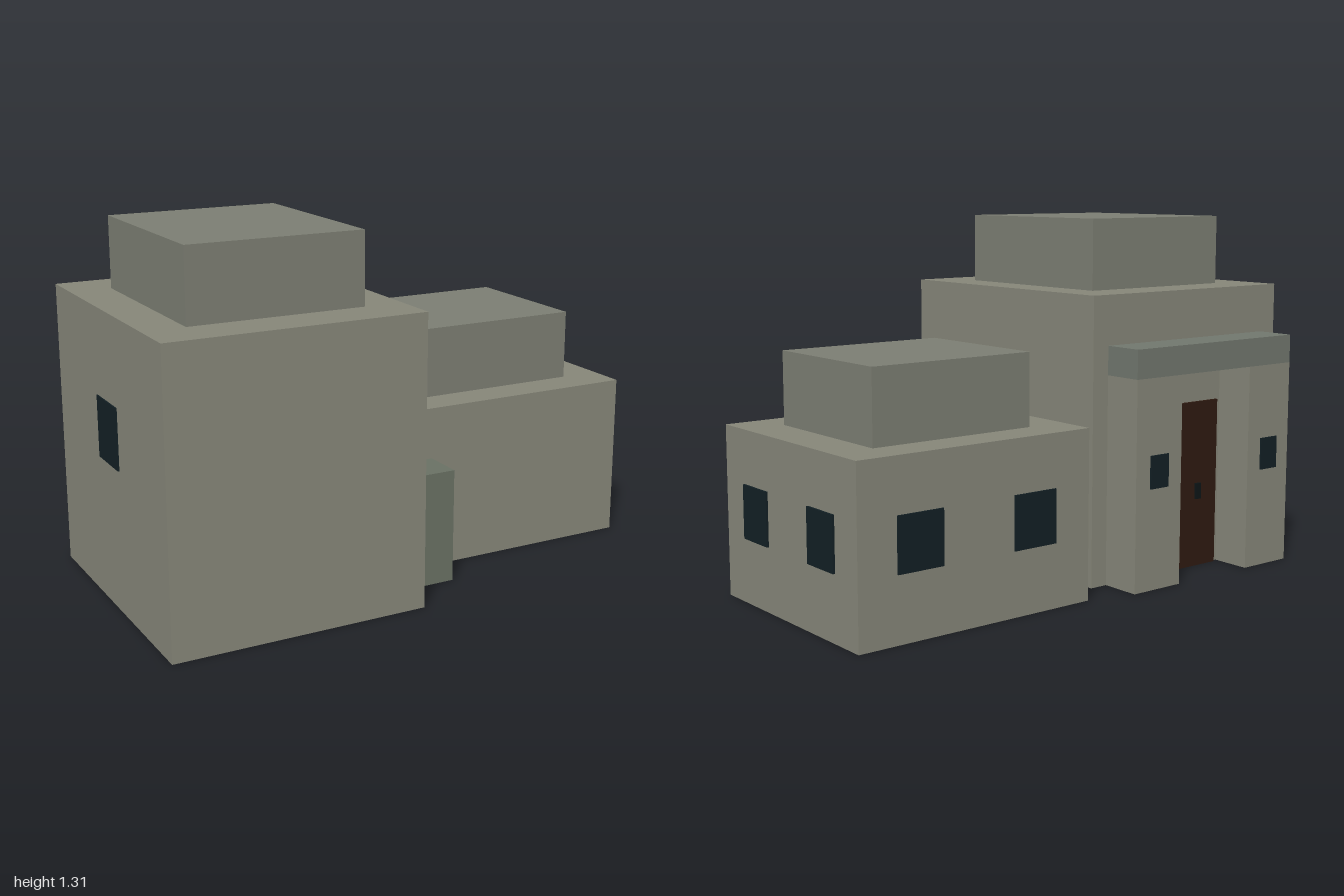
import * as THREE from 'three';

const material = (color) => new THREE.MeshStandardMaterial({ color, flatShading: true });

export function createModel() {
  const model = new THREE.Group();
  const wall = material(0x858578);
  const roof = material(0x7b7d72);
  const lintelStone = material(0x70766d);
  const linkStone = material(0x697063);
  const glass = material(0x121f24);
  const wood = material(0x2e1a10);
  const iron = material(0x0c1416);

  // Box given by its extents along each axis
  const block = (name, mat, [x0, x1], [y0, y1], [z0, z1]) => {
    const mesh = new THREE.Mesh(new THREE.BoxGeometry(x1 - x0, y1 - y0, z1 - z0), mat);
    mesh.position.set((x0 + x1) / 2, (y0 + y1) / 2, (z0 + z1) / 2);
    mesh.name = name;
    model.add(mesh);
  };

  // Tall house with its raised roof
  block('tallHouse', wall, [-0.995, -0.06], [0, 1.05], [-0.445, 0.6]);
  block('tallHouseRoof', roof, [-0.845, -0.205], [1.05, 1.31], [-0.275, 0.43]);
  block('tallHouseWindow', glass, [-1, -0.99], [0.52, 0.74], [-0.02, 0.17]);

  // Low house with its raised roof
  block('lowHouse', wall, [0.05, 0.992], [0, 0.61], [-0.55, 0.285]);
  block('lowHouseRoof', roof, [0.2, 0.84], [0.61, 0.87], [-0.41, 0.147]);
  for (const z of [-0.42, 0]) {
    block('lowHouseSideWindow', glass, [0.985, 1], [0.23, 0.42], [z, z + 0.157]);
  }
  for (const x of [0.2, 0.668]) {
    block('lowHouseBackWindow', glass, [x, x + 0.177], [0.23, 0.42], [-0.556, -0.54]);
  }

  // Passage joining the two houses
  block('passage', linkStone, [-0.06, 0.155], [0, 0.42], [-0.08, 0.44]);

  // Porch: two pillars, each with a small window, under a lintel
  for (const x of [-0.92, -0.35]) {
    block('porchPillar', wall, [x, x + 0.22], [0, 0.765], [-0.596, -0.445]);
    block('porchWindow', glass, [x + 0.067, x + 0.153], [0.37, 0.49], [-0.602, -0.59]);
  }
  block('porchLintel', lintelStone, [-0.92, -0.13], [0.765, 0.87], [-0.596, -0.445]);

  // Door set back between the pillars
  block('door', wood, [-0.68, -0.37], [0, 0.63], [-0.455, -0.44]);
  block('doorHandle', iron, [-0.592, -0.567], [0.26, 0.32], [-0.465, -0.45]);

  return model;
}
